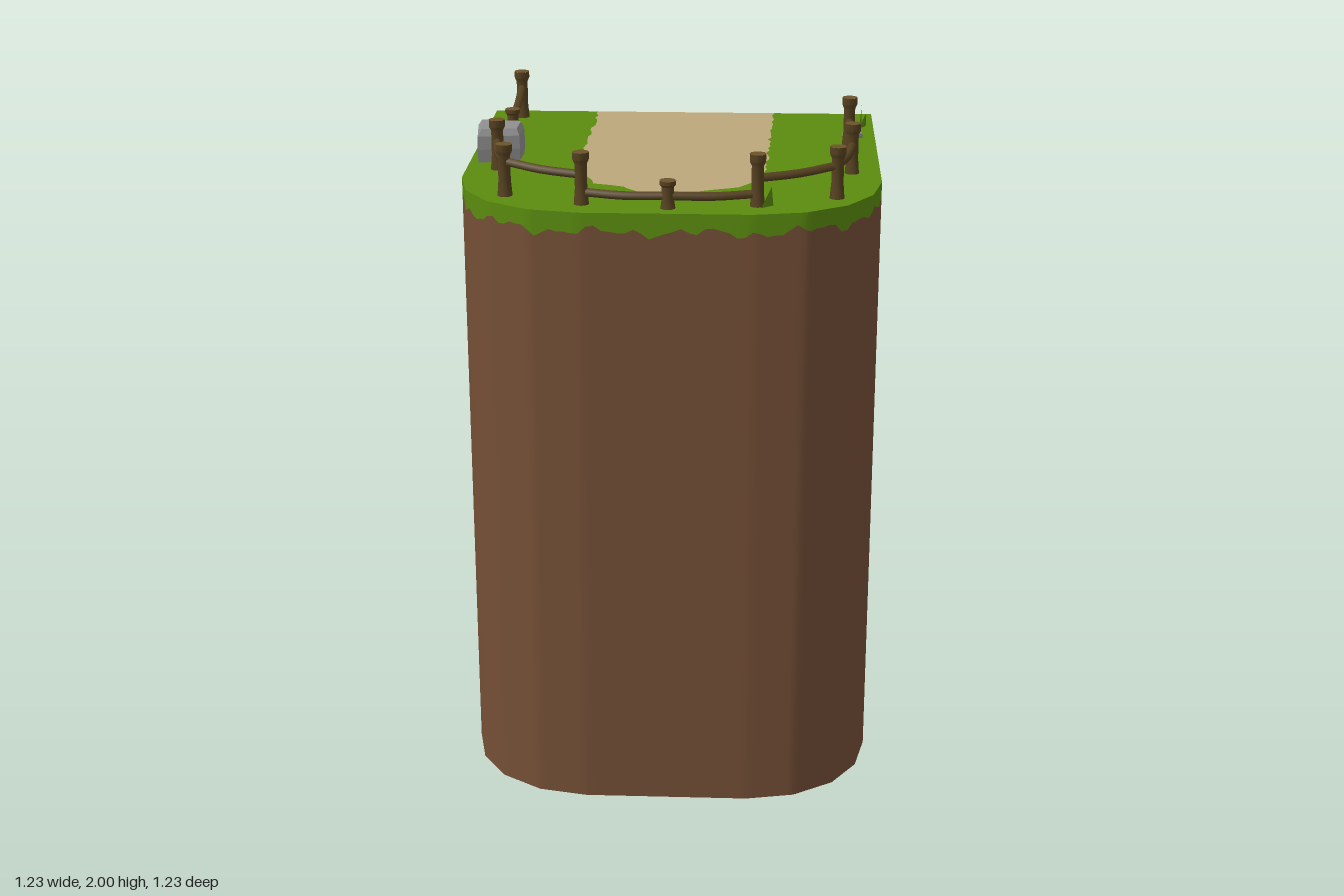
import * as THREE from 'three';
import { toCreasedNormals } from 'three/addons/utils/BufferGeometryUtils.js';
import { ConvexGeometry } from 'three/addons/geometries/ConvexGeometry.js';

const TOP = 1.85;
const mat = (name, color, side = THREE.FrontSide) => {
  const m = new THREE.MeshStandardMaterial({ color, side });
  m.name = name;
  return m;
};

export function createModel() {
  const group = new THREE.Group();
  const grass = mat('grass green', 0x5a8c0e, THREE.DoubleSide);
  const dirt = mat('earth brown', 0x744f36);
  const sand = mat('path sand', 0xbca77b);
  const bark = mat('bark brown', 0x574220);
  const cut = mat('cut wood', 0x6b532a);
  const stone = mat('stone grey', 0x909090);

  const add = (name, geometry, material, parent = group) => {
    const mesh = new THREE.Mesh(geometry, material);
    mesh.name = name;
    parent.add(mesh);
    return mesh;
  };
  let seed = 7;
  const rand = () => (seed = (seed * 16807) % 2147483647) / 2147483647 - 0.5;

  // Split a polyline of [x, z] points into short steps
  const subdivide = (points, step) => {
    const out = [];
    for (let i = 0; i < points.length - 1; i++) {
      const [a, b] = [points[i], points[i + 1]];
      const n = Math.max(1, Math.round(Math.hypot(b[0] - a[0], b[1] - a[1]) / step));
      for (let k = 0; k < n; k++) {
        out.push([a[0] + (b[0] - a[0]) * k / n, a[1] + (b[1] - a[1]) * k / n]);
      }
    }
    out.push(points[points.length - 1]);
    return out;
  };
  const flat = (points, y) => {
    const shape = new THREE.Shape(points.map(([x, z]) => new THREE.Vector2(x, -z)));
    return new THREE.ShapeGeometry(shape).rotateX(-Math.PI / 2).translate(0, y, 0);
  };

  // Block outline: square back, rounded front
  const half = [[0.245, 0.615], [0.39, 0.585], [0.51, 0.505], [0.585, 0.39], [0.615, 0.245], [0.615, -0.615]];
  const outline = [...half.map(([x, z]) => [-x, z]).reverse(), ...half];

  // Walls, divided into earth and grass along a wavy line
  const rim = subdivide([...outline, outline[0]], 0.022);
  let run = 0;
  const edge = rim.map(() => {
    run += 0.022;
    return 1.795 + 0.009 * Math.sin(run * 55) + 0.008 * Math.sin(run * 21 + 1) + 0.005 * Math.sin(run * 97);
  });
  edge[edge.length - 1] = edge[0];
  const wall = (low, high) => {
    const pos = [], index = [];
    rim.forEach(([x, z], i) => {
      pos.push(x, low(i), z, x, high(i), z);
      if (i) {
        const a = 2 * i - 2;
        index.push(a, a + 2, a + 3, a, a + 3, a + 1);
      }
    });
    const g = new THREE.BufferGeometry();
    g.setAttribute('position', new THREE.Float32BufferAttribute(pos, 3));
    g.setIndex(index);
    return toCreasedNormals(g, 0.7);
  };
  add('earthWall', wall(() => 0, i => edge[i]), dirt);
  add('grassEdge', wall(i => edge[i], () => TOP), grass);
  add('earthBase', flat(outline, 0).rotateX(Math.PI).scale(1, 1, -1).scale(1, 1, 1), dirt);
  // Base faces down: rebuild its winding after the mirror
  const base = group.getObjectByName('earthBase');
  base.geometry = flat(outline.map(([x, z]) => [x, -z]), 0).rotateX(Math.PI);

  // Sandy path with a ragged border, and the grass around it
  const pathLine = subdivide([
    [0.3, -0.615], [0.288, -0.4], [0.283, -0.2], [0.28, 0], [0.272, 0.15], [0.255, 0.25],
    [0.2, 0.325], [0.13, 0.35], [0.08, 0.375], [0, 0.383], [-0.08, 0.385], [-0.14, 0.335],
    [-0.22, 0.295], [-0.262, 0.2], [-0.282, 0], [-0.28, -0.3], [-0.28, -0.615],
  ], 0.03).map(([x, z], i, all) => {
    if (i === 0 || i === all.length - 1) return [x, z];
    return [x + rand() * 0.014, z + rand() * 0.01];
  });
  add('path', flat(pathLine, TOP), sand);
  add('grassTop', flat([...outline, ...pathLine], TOP), grass);

  // Fence posts with flared tops
  const fence = new THREE.Group();
  fence.name = 'fence';
  group.add(fence);
  const post = (x, z, height) => {
    const p = new THREE.Group();
    p.name = 'post';
    p.position.set(x, TOP, z);
    const profile = [[0.022, 0], [0.018, 0.3], [0.018, 0.78], [0.024, 0.86], [0.024, 1]]
      .map(([r, y]) => new THREE.Vector2(r, y * height));
    add('postShaft', toCreasedNormals(new THREE.LatheGeometry(profile, 10), 0.7), bark, p);
    add('postTop', new THREE.CircleGeometry(0.024, 10).rotateX(-Math.PI / 2).translate(0, height, 0), cut, p);
    fence.add(p);
  };
  // Rail through two ends, bowed slightly outward
  const rail = (a, b, ya, yb, bow = 0.01) => {
    const mid = new THREE.Vector3((a[0] + b[0]) / 2, (ya + yb) / 2 - 0.003, (a[1] + b[1]) / 2);
    const out = new THREE.Vector3(mid.x, 0, mid.z).normalize().multiplyScalar(bow);
    const curve = new THREE.CatmullRomCurve3([
      new THREE.Vector3(a[0], ya, a[1]), mid.add(out), new THREE.Vector3(b[0], yb, b[1]),
    ]);
    add('rail', new THREE.TubeGeometry(curve, 6, 0.0125, 6), bark, fence);
  };
  const TALL = 0.15, SHORT = 0.08;
  const posts = [
    [-0.52, 0.145, TALL], [-0.465, 0.44, TALL], [-0.24, 0.522, TALL], [0.005, 0.555, SHORT],
    [0.255, 0.52, TALL], [0.48, 0.427, TALL], [0.53, 0.145, TALL], [0.53, -0.195, TALL],
  ];
  const railHeights = [[1.935, 1.945], [1.95, 1.935], [1.885, 1.885], [1.885, 1.885], [1.93, 1.945], [1.945, 1.935], [1.935, 1.925]];
  posts.forEach(p => post(...p));
  railHeights.forEach(([ya, yb], i) => rail(posts[i], posts[i + 1], ya, yb, i === 6 ? 0.002 : 0.008));
  post(-0.52, -0.53, TALL);
  post(-0.525, -0.295, SHORT);
  rail([-0.52, -0.53], [-0.525, -0.295], 1.95, 1.9, -0.003);

  // Rocks: a footprint that tapers into a bevelled top
  const rock = (name, foot, height) => {
    const cx = foot.reduce((s, p) => s + p[0], 0) / foot.length;
    const cz = foot.reduce((s, p) => s + p[1], 0) / foot.length;
    const points = [];
    for (const [s, h] of [[0.96, 0], [1, 0.4], [0.97, 0.8], [0.82, 1]]) {
      foot.forEach(([x, z], i) => points.push(new THREE.Vector3(
        cx + (x - cx) * s, TOP + height * h * (1 - 0.04 * (i % 2)), cz + (z - cz) * s)));
    }
    add(name, new ConvexGeometry(points), stone);
  };
  rock('largeRock', [[-0.607, -0.075], [-0.475, -0.078], [-0.46, -0.05], [-0.465, 0.045], [-0.59, 0.08]], 0.1);
  rock('mediumRock', [[-0.57, -0.145], [-0.505, -0.148], [-0.493, -0.075], [-0.565, -0.07]], 0.06);
  rock('smallRock', [[0.513, -0.31], [0.55, -0.332], [0.577, -0.29], [0.54, -0.267]], 0.018);

  // Spiky grass tufts: upright triangles
  const tuft = (x, z, height, angle, lean) => {
    const blade = new THREE.Shape([
      new THREE.Vector2(-0.022, 0), new THREE.Vector2(0.022, 0), new THREE.Vector2(lean, height),
    ]);
    const m = add('grassTuft', new THREE.ShapeGeometry(blade), grass);
    m.position.set(x, TOP, z);
    m.rotation.y = angle;
  };
  tuft(0.57, -0.38, 0.04, 1.3, 0.015);
  tuft(0.58, -0.43, 0.04, 1.0, 0.02);
  tuft(0.575, -0.46, 0.06, 1.4, 0.02);
  tuft(0.555, -0.24, 0.035, 1.2, 0.01);
  tuft(0.283, 0.53, 0.055, 0.7, 0.015);

  return group;
}
